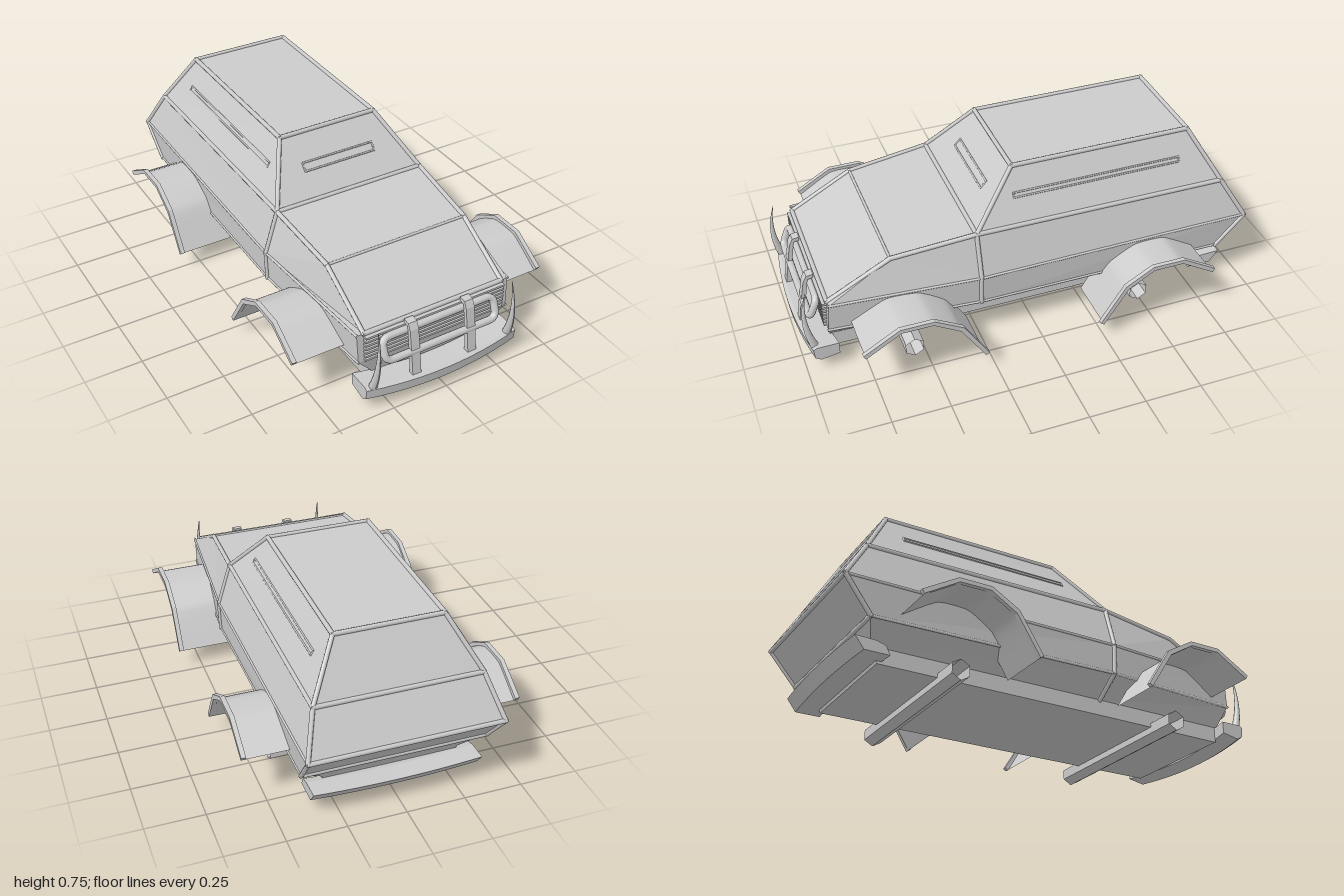
import * as THREE from 'three';

const mat = new THREE.MeshStandardMaterial({ color: 0xcccccc });
const flat = new THREE.MeshStandardMaterial({ color: 0xcccccc, flatShading: true });
const thin = new THREE.MeshStandardMaterial({ color: 0xcccccc, side: THREE.DoubleSide });
const V = (x, y, z) => new THREE.Vector3(x, y, z);
const flip = (p) => V(-p.x, p.y, p.z);

function add(parent, name, geo, material = flat) {
  const mesh = new THREE.Mesh(geo, material);
  mesh.name = name;
  parent.add(mesh);
  return mesh;
}

// Round bar between two points
function bar(parent, name, a, b, r) {
  const geo = new THREE.CylinderGeometry(r, r, a.distanceTo(b) + r, 8);
  const m = add(parent, name, geo, mat);
  m.position.copy(a).add(b).multiplyScalar(0.5);
  m.quaternion.setFromUnitVectors(V(0, 1, 0), b.clone().sub(a).normalize());
}

// Side profile of [z, y] points, extruded across x from x0 to x1
function sideExtrude(pts, x0, x1, steps = 1) {
  const shape = new THREE.Shape(pts.map(([z, y]) => new THREE.Vector2(z, y)));
  const geo = new THREE.ExtrudeGeometry(shape, { depth: x1 - x0, bevelEnabled: false, steps });
  return geo.rotateY(-Math.PI / 2).translate(x1, 0, 0);
}

function warp(geo, rule) {
  const p = geo.attributes.position, v = V(0, 0, 0);
  for (let i = 0; i < p.count; i++) {
    rule(v.fromBufferAttribute(p, i));
    p.setXYZ(i, v.x, v.y, v.z);
  }
  geo.computeVertexNormals();
  return geo;
}

// Corner points of the left half of the shell
const P = {
  roofF: V(0.23, 0.737, 0.05), roofR: V(0.23, 0.737, -0.76),
  beltF: V(0.352, 0.52, 0.245), beltR: V(0.352, 0.515, -0.885),
  hood: V(0.33, 0.48, 0.61), nose: V(0.328, 0.33, 0.885),
  midF: V(0.36, 0.33, 0.885), mid: V(0.41, 0.33, 0.245), midR: V(0.408, 0.338, -0.99),
  lowF: V(0.355, 0.2, 0.895), low: V(0.405, 0.2, 0.245), lowR: V(0.395, 0.19, -0.87),
  sillF: V(0.285, 0.12, 0.88), sill: V(0.29, 0.12, 0.245), sillR: V(0.29, 0.12, -0.82),
  baseF: V(0.285, 0.05, 0.87), base: V(0.29, 0.05, 0.245), baseR: V(0.29, 0.05, -0.79),
};

function shell() {
  const pos = [], centre = V(0, 0.3, -0.05);
  const face = (c) => {
    const n = c[1].clone().sub(c[0]).cross(c[2].clone().sub(c[0]));
    const m = c.reduce((s, p) => s.add(p), V(0, 0, 0)).divideScalar(c.length).sub(centre);
    if (n.dot(m) < 0) c = [...c].reverse();
    for (let i = 1; i < c.length - 1; i++) {
      for (const p of [c[0], c[i], c[i + 1]]) pos.push(p.x, p.y, p.z);
    }
  };
  // Side panels, mirrored
  for (const s of ['beltF beltR roofR roofF', 'beltF mid midR beltR', 'hood nose midF mid', 'hood mid beltF',
    'midF mid low lowF', 'mid midR lowR low', 'lowF low sill sillF', 'low lowR sillR sill',
    'sillF sill base baseF', 'sill sillR baseR base']) {
    const c = s.split(' ').map((k) => P[k]);
    face(c);
    face(c.map(flip));
  }
  // Panels that span the car
  for (const [a, b] of ['roofF roofR', 'roofF beltF', 'beltF hood', 'hood nose', 'midF lowF', 'lowF sillF',
    'sillF baseF', 'roofR beltR', 'beltR midR', 'midR lowR', 'lowR sillR', 'sillR baseR',
    'baseF base', 'base baseR'].map((s) => s.split(' '))) {
    face([P[a], P[b], flip(P[b]), flip(P[a])]);
  }
  const geo = new THREE.BufferGeometry();
  geo.setAttribute('position', new THREE.Float32BufferAttribute(pos, 3));
  geo.computeVertexNormals();
  return geo;
}

export function createModel() {
  const car = new THREE.Group();
  car.name = 'car';
  add(car, 'bodyShell', shell());

  // Raised edge frames
  const frame = new THREE.Group();
  frame.name = 'edgeFrame';
  car.add(frame);
  for (const s of ['roofF roofR', 'roofF beltF', 'roofR beltR', 'beltF beltR', 'beltF hood', 'hood nose',
    'beltR midR', 'midR lowR', 'beltF mid', 'mid low', 'low sill']) {
    const [a, b] = s.split(' ').map((k) => P[k]);
    bar(frame, 'edge', a, b, 0.01);
    bar(frame, 'edge', flip(a), flip(b), 0.01);
  }
  for (const s of ['mid midR', 'midF mid', 'lowF low', 'low lowR']) {
    const [a, b] = s.split(' ').map((k) => P[k]);
    bar(frame, 'seam', a, b, 0.006);
    bar(frame, 'seam', flip(a), flip(b), 0.006);
  }
  for (const k of ['roofF', 'roofR', 'beltF', 'beltR', 'hood', 'midR', 'lowR', 'nose']) {
    bar(frame, 'crossEdge', P[k], flip(P[k]), k === 'hood' ? 0.006 : 0.01);
  }

  // Window slits: a thin rim around each opening
  const rim = (c) => c.forEach((p, i) => bar(car, 'slitRim', p, c[(i + 1) % 4], 0.004));
  const sideX = (y) => 0.352 - 0.122 * (y - 0.517) / 0.22;
  const frontZ = (y) => 0.245 - 0.195 * (y - 0.52) / 0.217;
  for (const s of [1, -1]) {
    rim([[0.62, 0.06], [0.62, -0.7], [0.638, -0.7], [0.638, 0.06]].map(([y, z]) => V(s * sideX(y), y, z)));
  }
  rim([[-0.17, 0.612], [0.17, 0.612], [0.17, 0.64], [-0.17, 0.64]].map(([x, y]) => V(x, y, frontZ(y))));

  // Grille slats
  for (let i = 0; i < 7; i++) {
    const slat = add(car, 'grilleSlat', new THREE.BoxGeometry(0.66, 0.009, 0.025));
    slat.position.set(0, 0.21 + i * 0.018, 0.895);
  }

  // Bowed bumpers
  const bow = (k, lift) => (v) => { v.z -= k * v.x * v.x; v.y += lift * v.x * v.x; };
  add(car, 'frontBumper', warp(sideExtrude([[0.89, 0.055], [0.97, 0.04], [0.995, 0.055], [1, 0.1],
    [0.985, 0.108], [0.89, 0.108]], -0.36, 0.36, 12), bow(0.25, 0.1)));
  add(car, 'rearBumper', warp(sideExtrude([[-0.78, 0.062], [-0.89, 0.062], [-0.93, 0.115],
    [-0.84, 0.112], [-0.8, 0.1]], -0.36, 0.36, 12), bow(-0.12, 0)));

  // Bull bar loop
  const loop = new THREE.CurvePath();
  const w = 0.265, lo = 0.21, hi = 0.3, r = 0.035;
  const L = (x, y) => V(x, y, 0.935 - (y - 0.25) * 0.4);
  const corners = [[w, lo, -1, 0, 0, 1], [w, hi, 0, -1, -1, 0], [-w, hi, 1, 0, 0, -1], [-w, lo, 0, 1, 1, 0]];
  corners.forEach(([x, y, ax, ay, bx, by], i) => {
    const end = L(x + bx * r, y + by * r);
    loop.add(new THREE.QuadraticBezierCurve3(L(x + ax * r, y + ay * r), L(x, y), end));
    const n = corners[(i + 1) % 4];
    loop.add(new THREE.LineCurve3(end, L(n[0] + n[2] * r, n[1] + n[3] * r)));
  });
  add(car, 'bullBar', new THREE.TubeGeometry(loop, 120, 0.016, 10, true), mat);

  const post = [[0.98, 0.1], [0.965, 0.2], [0.945, 0.31], [0.93, 0.338], [0.9, 0.342], [0.9, 0.325],
    [0.925, 0.32], [0.945, 0.2], [0.955, 0.1]];
  for (const s of [1, -1]) {
    add(car, 'bullBarPost', sideExtrude(post, s * 0.133 - 0.02, s * 0.133 + 0.02));
    // Curved horns on the bumper
    const horn = new THREE.CylinderGeometry(0.001, 0.019, 0.275, 10, 8).translate(0, 0.248, 0);
    warp(horn, (v) => {
      const t = (v.y - 0.11) / 0.275;
      v.x += s * (0.325 - 0.01 * t);
      v.z += 0.955 + 0.09 * t * (1 - t) + 0.012 * t;
    });
    add(car, 'horn', horn, mat);
  }

  // Fenders: a smooth plate with a stiff outer lip; rear ones mirror the front
  const arch = [[0.8, 0.225], [0.65, 0.315], [0.515, 0.315], [0.4, 0.245], [0.295, 0.08]];
  const lipIn = [[0.81, 0.242], [0.655, 0.333], [0.51, 0.333], [0.388, 0.262], [0.28, 0.09]];
  for (const rear of [false, true]) {
    const place = ([z, y]) => [rear ? 0.055 - z : z, y];
    const path = arch.map(place), outer = lipIn.map(place);
    for (const s of [1, -1]) {
      const curve = new THREE.CatmullRomCurve3(path.map(([z, y]) => V(0, y, z)), false, 'catmullrom', 0.25);
      const plate = new THREE.PlaneGeometry(1, 1, 2, 24);
      warp(plate, (v) => {
        const c = curve.getPoint(v.y + 0.5);
        v.set(s * (0.47 + v.x * 0.25), c.y, c.z);
      });
      add(car, 'fenderPlate', plate, thin);
      const x = s * 0.59;
      add(car, 'fenderLip', sideExtrude([...path, ...outer.reverse()], x - 0.01, x + 0.01));
      outer.reverse();
    }
  }

  // Open axle tubes
  for (const z of [0.55, -0.49]) {
    const axle = add(car, 'axle', new THREE.CylinderGeometry(0.045, 0.045, 0.835, 6, 1, true).rotateZ(Math.PI / 2),
      new THREE.MeshStandardMaterial({ color: 0xcccccc, flatShading: true, side: THREE.DoubleSide }));
    axle.rotation.x = Math.PI / 2;
    axle.position.set(0, 0.045, z);
    axle.geometry.computeBoundingBox();
    // Keep a vertex pointing down so the tube rests on the ground
    if (axle.geometry.boundingBox.max.z < 0.0449) axle.rotation.x = 0;
  }
  return car;
}
